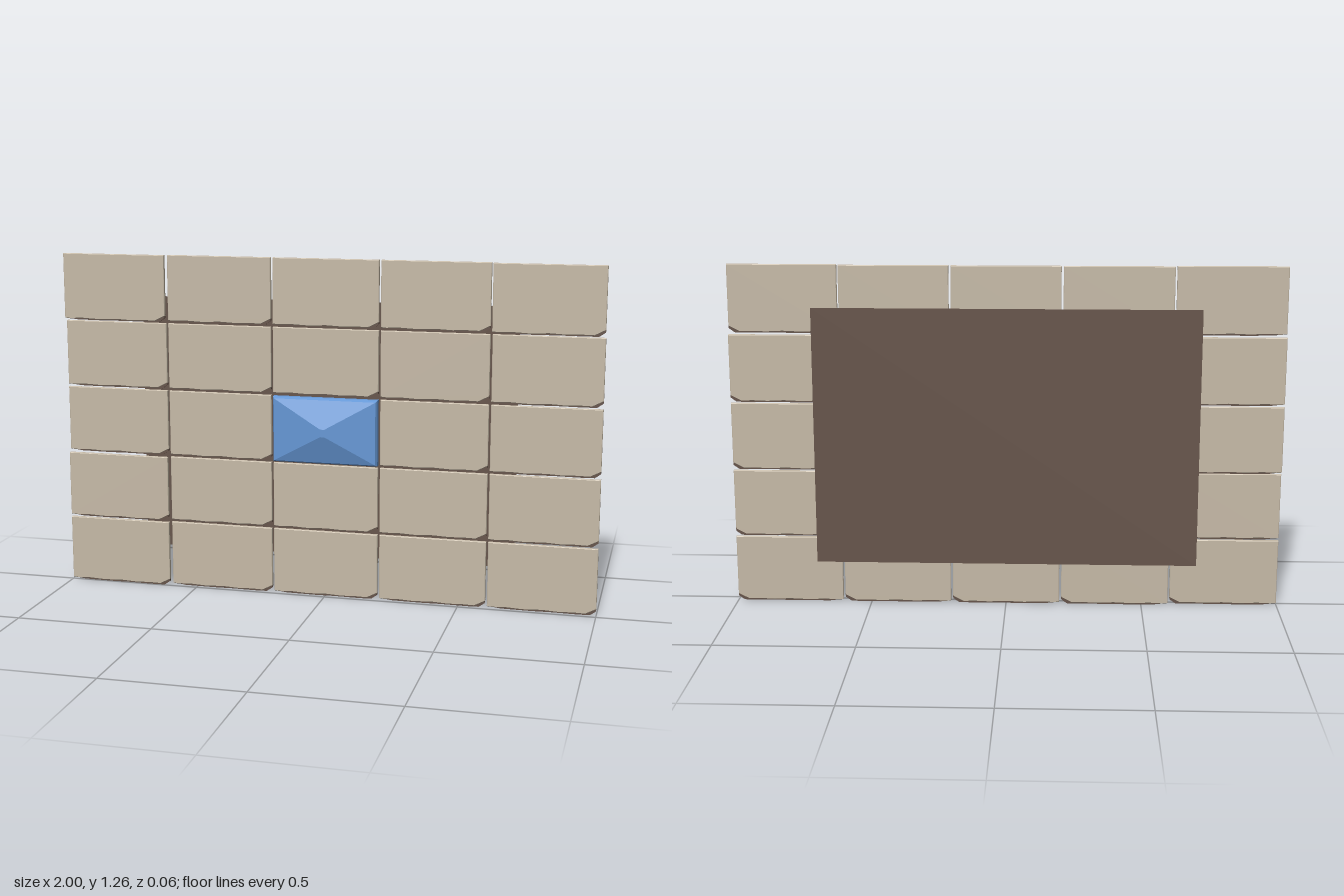
import * as THREE from 'three';

export function createModel() {
  const group = new THREE.Group();
  const mat = (name, color, extra = {}) => {
    const m = new THREE.MeshStandardMaterial({ color, ...extra });
    m.name = name;
    return m;
  };
  const stone = mat('sandstone', 0xc6baa7, { flatShading: true });
  const dark = mat('dark brown', 0x66544a, { side: THREE.DoubleSide });
  const blue = mat('gem blue', 0x6698d6, { flatShading: true });

  const add = (name, geometry, material) => {
    const mesh = new THREE.Mesh(geometry, material);
    mesh.name = name;
    group.add(mesh);
    return mesh;
  };

  const W = 0.394, H = 0.247, DEPTH = 0.015, BACK = -0.031;

  // Slab outline: worn lower edge and a clipped lower right corner
  const wear = [[0.02, 0.004], [0.07, 0.006], [0.13, 0.003], [0.2, 0.006], [0.26, 0.003], [0.31, 0.005], [0.355, 0.004]];
  const outline = new THREE.Shape();
  outline.moveTo(0, 0.006);
  wear.forEach(([x, y]) => outline.lineTo(x, y));
  outline.lineTo(W, 0.024);
  outline.lineTo(W, H);
  outline.lineTo(0, H);
  outline.closePath();
  const slab = new THREE.ExtrudeGeometry(outline, {
    depth: DEPTH - 0.004, bevelEnabled: true, bevelThickness: 0.002,
    bevelSize: 0.002, bevelOffset: -0.002, bevelSegments: 1,
  }).translate(0, 0, 0.002);

  // Dark worn strip below the slab edge and around its corner
  const worn = new THREE.Shape();
  worn.moveTo(0.01, 0.006);
  [[0.05, 0.001], [0.16, 0], [0.23, 0.001], [0.33, 0], [0.372, 0.001], [W - 0.001, 0.016], [W, 0.028]]
    .forEach(([x, y]) => worn.lineTo(x, y));
  worn.lineTo(W - 0.004, 0.028);
  [...wear].reverse().forEach(([x, y]) => worn.lineTo(x, y + 0.003));
  worn.closePath();
  const wornEdge = new THREE.ExtrudeGeometry(worn, { depth: DEPTH - 0.003, bevelEnabled: false }).translate(0, 0, 0.001);

  // Grid of slabs, some of the outer ones set forward
  const forward = ['0,0', '0,1', '0,4', '4,4'];
  for (let col = 0; col < 5; col++) {
    for (let row = 0; row < 5; row++) {
      if (col === 2 && row === 2) continue;
      const x = -1 + col * (2 - W) / 4;
      const y = row * 0.2523;
      const z = BACK + (forward.includes(`${col},${row}`) ? DEPTH : 0);
      add('wallSlab', slab, stone).position.set(x, y, z);
      add('wornEdge', wornEdge, dark).position.set(x, y, z);
    }
  }

  // Backing sheet behind the joints
  add('backingSheet', new THREE.PlaneGeometry(1.4, 0.95), dark).position.set(0, 0.628, -0.032);

  // Faceted gem: rectangular cross-sections [halfWidth, halfHeight, z]
  const rings = [[0.196, 0.122, BACK], [0.196, 0.122, -0.012], [0.19, 0.116, 0], [0.008, 0.014, 0.032]];
  const corners = [[-1, -1], [1, -1], [1, 1], [-1, 1]];
  const pos = [], idx = [];
  rings.forEach(([w, h, z]) => corners.forEach(([sx, sy]) => pos.push(sx * w, sy * h, z)));
  for (let r = 0; r < rings.length - 1; r++) {
    for (let i = 0; i < 4; i++) {
      const a = r * 4 + i, b = r * 4 + (i + 1) % 4;
      idx.push(a, b, b + 4, a, b + 4, a + 4);
    }
  }
  idx.push(0, 2, 1, 0, 3, 2, 12, 13, 14, 12, 14, 15);
  const indexed = new THREE.BufferGeometry();
  indexed.setAttribute('position', new THREE.Float32BufferAttribute(pos, 3));
  indexed.setIndex(idx);
  const gem = indexed.toNonIndexed();
  gem.computeVertexNormals();
  add('gem', gem, blue).position.set(0, 0.628, 0);

  return group;
}
